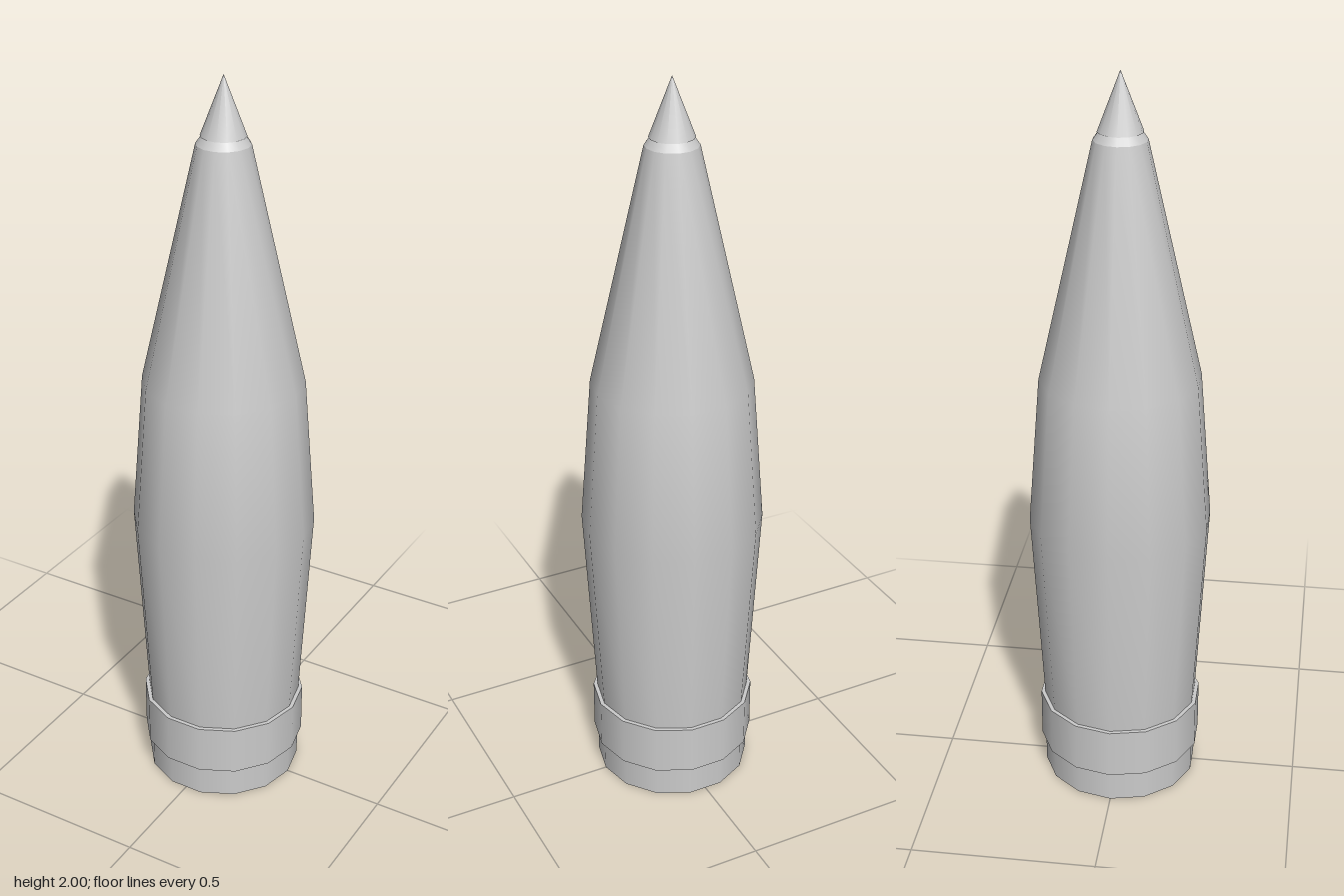
import * as THREE from 'three';

const SIDES = 14;

export function createModel() {
  const model = new THREE.Group();
  model.name = 'shell';
  const material = new THREE.MeshStandardMaterial({ color: 0xcccccc });

  // Turned part: each profile is smooth within itself, hard edges lie between profiles
  function turned(name, ...profiles) {
    const part = new THREE.Group();
    part.name = name;
    for (const profile of profiles) {
      const points = profile.map(([r, y]) => new THREE.Vector2(r, y));
      const mesh = new THREE.Mesh(new THREE.LatheGeometry(points, SIDES, Math.PI / 2), material);
      mesh.name = name + 'Surface';
      part.add(mesh);
    }
    model.add(part);
  }

  // Flat underside with a shallow round recess, and the short base wall
  turned('baseRecess', [[0, 0.03], [0.045, 0.03]], [[0.045, 0.03], [0.045, 0]]);
  turned('base', [[0.045, 0], [0.214, 0]], [[0.214, 0], [0.214, 0.09]]);

  // Raised band around the foot of the body
  turned('drivingBand',
    [[0.214, 0.09], [0.225, 0.09]],
    [[0.225, 0.09], [0.225, 0.23]],
    [[0.225, 0.23], [0.214, 0.23]]);

  // Swelling body that tapers to the shoulder
  turned('body', [[0.214, 0.23], [0.245, 0.79], [0.213, 1.2], [0.069, 1.83]]);
  turned('shoulder', [[0.069, 1.83], [0.055, 1.85]]);

  // Pointed fuse
  turned('noseCone', [[0, 1.85], [0.058, 1.85]], [[0.058, 1.85], [0, 2]]);

  return model;
}
